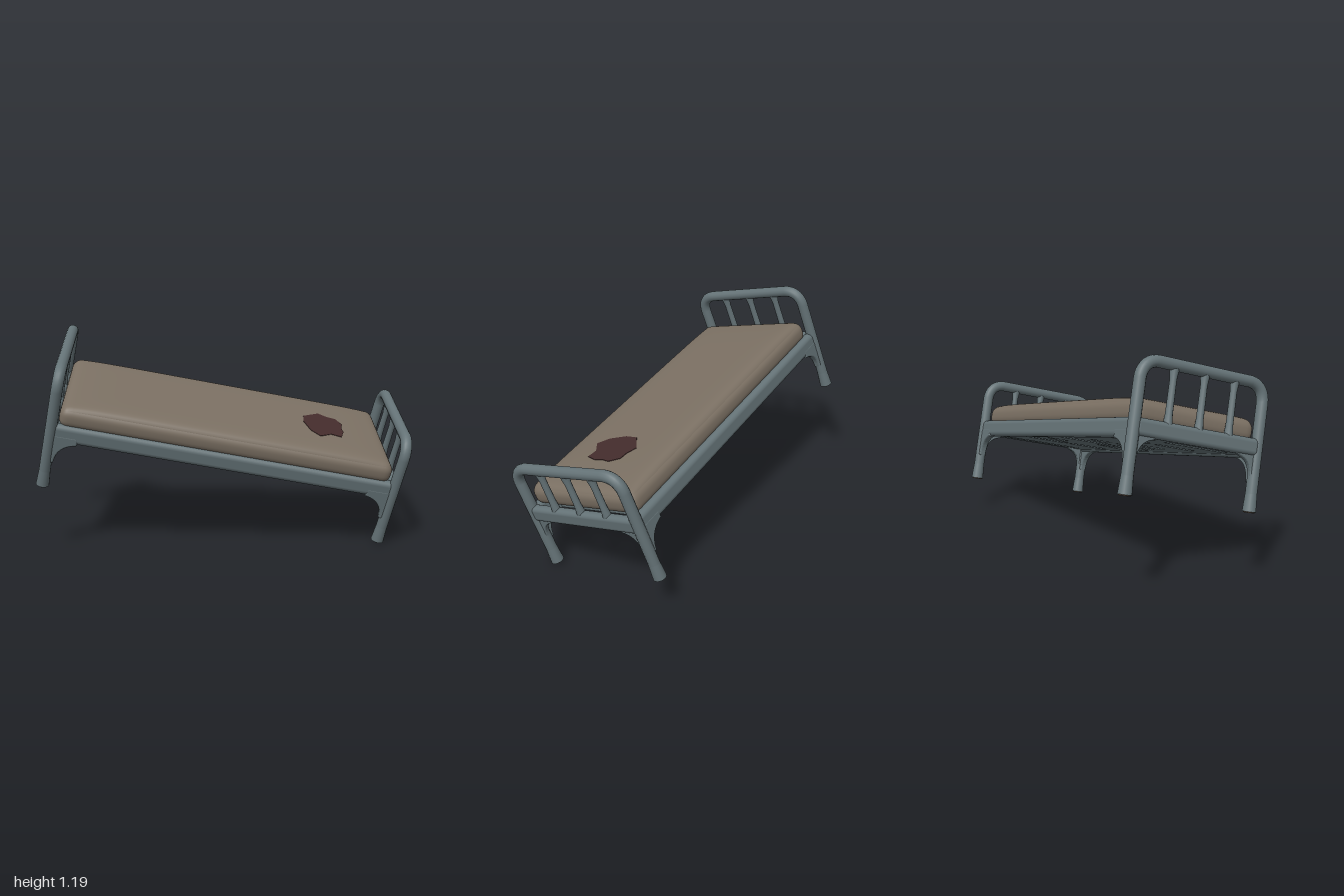
import * as THREE from 'three';
import { RoundedBoxGeometry } from 'three/addons/geometries/RoundedBoxGeometry.js';

const material = (name, color) => {
  const m = new THREE.MeshStandardMaterial({ color });
  m.name = name;
  return m;
};
const steel = material('blue grey steel', 0x657377);
const cloth = material('dirty beige cloth', 0x7b7063);
const stainRed = material('dark red stain', 0x442c2c);
const rust = material('brown rust', 0x6b5a4c);

const POST_X = 0.94, POST_Z = 0.365, RAIL_Y = 0.32;

function add(parent, name, geometry, mat, x = 0, y = 0, z = 0) {
  const mesh = new THREE.Mesh(geometry, mat);
  mesh.name = name;
  mesh.position.set(x, y, z);
  parent.add(mesh);
  return mesh;
}

// Bent tube forming two legs and the top bar, with three upright bars
function endFrame(name, x, height) {
  const group = new THREE.Group();
  group.name = name;
  group.position.x = x;
  const v = (y, z) => new THREE.Vector3(0, y, z);
  const r = 0.09, Z = POST_Z, path = new THREE.CurvePath();
  path.add(new THREE.LineCurve3(v(0.005, Z), v(height - r, Z)));
  path.add(new THREE.QuadraticBezierCurve3(v(height - r, Z), v(height - 0.008, Z - 0.008), v(height, Z - r)));
  path.add(new THREE.LineCurve3(v(height, Z - r), v(height, r - Z)));
  path.add(new THREE.QuadraticBezierCurve3(v(height, r - Z), v(height - 0.008, 0.008 - Z), v(height - r, -Z)));
  path.add(new THREE.LineCurve3(v(height - r, -Z), v(0.005, -Z)));
  add(group, 'bentTube', new THREE.TubeGeometry(path, 120, 0.031, 14), steel);

  for (const z of [-0.18, 0, 0.18]) {
    // Upright bar, thicker where it meets the rails
    const profile = [[0.026, 0.34], [0.019, 0.41], [0.018, height - 0.07], [0.026, height - 0.01]]
      .map(([a, b]) => new THREE.Vector2(a, b));
    add(group, 'uprightBar', new THREE.LatheGeometry(profile, 12), steel, 0, 0, z);
  }
  for (const s of [-1, 1]) {
    add(group, 'foot', new THREE.CylinderGeometry(0.031, 0.036, 0.09, 14), steel, 0, 0.045, s * Z);
    add(group, 'footCap', new THREE.CylinderGeometry(0.032, 0.028, 0.006, 14), rust, 0, -0.002, s * Z);
  }
  add(group, 'endRail', new RoundedBoxGeometry(0.055, 0.09, 2 * Z, 3, 0.025), steel, 0, RAIL_Y + 0.005, 0);
  return group;
}

// Curved corner brace beneath a rail
function braceGeometry() {
  const s = new THREE.Shape();
  s.moveTo(0, 0.03);
  s.lineTo(0, -0.12);
  s.lineTo(0.03, -0.12);
  s.quadraticCurveTo(0.04, -0.02, 0.14, 0);
  s.lineTo(0.14, 0.03);
  const g = new THREE.ExtrudeGeometry(s, {
    depth: 0.02, bevelEnabled: true, bevelSize: 0.008, bevelThickness: 0.01, bevelSegments: 3, curveSegments: 8,
  });
  return g.translate(0, 0, -0.01);
}

// Bed base with torn slots: each is [centre x, half width, z start, z end, lean]
function basePlate() {
  const s = new THREE.Shape();
  s.moveTo(-0.93, -0.35);
  s.lineTo(0.93, -0.35);
  s.lineTo(0.93, 0.35);
  s.lineTo(-0.93, 0.35);
  const slots = [
    [0.86, 0.035, -0.28, 0.28, 0.01], [0.47, 0.035, -0.27, 0.0, 0], [0.47, 0.037, 0.03, 0.28, 0],
    [0.29, 0.045, -0.24, -0.09, 0.04], [0.19, 0.045, 0.05, 0.26, 0.04], [0.01, 0.033, -0.3, 0.05, 0],
    [0.01, 0.033, 0.08, 0.3, 0], [-0.16, 0.038, -0.17, -0.05, 0.02], [-0.16, 0.035, -0.02, 0.23, -0.03],
    [-0.33, 0.04, -0.03, 0.19, -0.035], [-0.58, 0.033, -0.3, -0.05, 0], [-0.58, 0.03, -0.02, 0.23, 0.01],
    [-0.82, 0.028, -0.3, -0.17, 0], [-0.82, 0.026, -0.1, 0.27, 0],
  ];
  for (const [x, w, z0, z1, lean] of slots) {
    const hole = new THREE.Path();
    hole.moveTo(x - w, z0);
    hole.lineTo(x - w, z1);
    hole.lineTo(x + w, z1);
    hole.lineTo(x + w - Math.abs(lean) * 1.6, z0);
    hole.closePath();
    s.holes.push(hole);
  }
  const g = new THREE.ExtrudeGeometry(s, { depth: 0.025, bevelEnabled: false });
  return g.rotateX(Math.PI / 2);
}

// Soft block: rounded edges with a gently domed top
function mattressGeometry() {
  const hx = 0.91, hy = 0.06, hz = 0.362, r = 0.05;
  const g = new THREE.BoxGeometry(2, 2, 2, 48, 10, 28);
  const p = g.attributes.position, v = new THREE.Vector3(), core = new THREE.Vector3();
  const ease = t => Math.sin(t * Math.PI / 2);
  for (let i = 0; i < p.count; i++) {
    const u = ease(p.getX(i)), t = p.getY(i), w = ease(p.getZ(i));
    v.set(u * hx, t * hy, w * hz);
    core.set(
      THREE.MathUtils.clamp(v.x, r - hx, hx - r),
      THREE.MathUtils.clamp(v.y, r - hy, hy - r),
      THREE.MathUtils.clamp(v.z, r - hz, hz - r));
    v.sub(core).normalize().multiplyScalar(r).add(core);
    if (t > 0) v.y += 0.02 * t * (1 - u ** 8) * (1 - w ** 8);
    p.setXYZ(i, v.x, v.y, v.z);
  }
  g.computeVertexNormals();
  return g;
}

function stainGeometry() {
  const outline = [
    [0.435, -0.047], [0.53, -0.116], [0.582, -0.087], [0.628, -0.081], [0.661, -0.021], [0.649, 0.032],
    [0.655, 0.08], [0.633, 0.147], [0.576, 0.135], [0.509, 0.182], [0.459, 0.129], [0.429, 0.031],
  ].map(([x, z]) => new THREE.Vector2(x, -z));
  const g = new THREE.ExtrudeGeometry(new THREE.Shape(outline), { depth: 0.006, bevelEnabled: false });
  return g.rotateX(-Math.PI / 2);
}

export function createModel() {
  const model = new THREE.Group();
  model.name = 'bed';
  const bed = new THREE.Group();
  bed.name = 'tiltedBed';
  model.add(bed);

  bed.add(endFrame('headboard', -POST_X, 0.65));
  bed.add(endFrame('footboard', POST_X, 0.61));

  for (const s of [-1, 1]) {
    add(bed, 'sideRail', new RoundedBoxGeometry(2 * POST_X, 0.1, 0.06, 3, 0.028), steel, 0, RAIL_Y, s * 0.354);
    for (const e of [-1, 1]) {
      const along = add(bed, 'sideBrace', braceGeometry(), steel, e * POST_X, RAIL_Y - 0.045, s * POST_Z);
      along.rotation.y = e > 0 ? Math.PI : 0;
      const across = add(bed, 'endBrace', braceGeometry(), steel, e * POST_X, RAIL_Y - 0.04, s * POST_Z);
      across.rotation.y = s * Math.PI / 2;
      across.scale.set(0.8, 0.8, 0.8);
    }
  }
  add(bed, 'basePlate', basePlate(), steel, 0, 0.308, 0);
  add(bed, 'mattress', mattressGeometry(), cloth, 0, 0.405, 0.008);
  add(bed, 'stain', stainGeometry(), stainRed, 0, 0.481, 0);

  // The whole bed is turned and tipped
  const length = new THREE.Vector3(0.776, -0.194, 0.6).normalize();
  const up = new THREE.Vector3(-0.008, 0.949, 0.317);
  const side = new THREE.Vector3().crossVectors(length, up).normalize();
  up.crossVectors(side, length);
  bed.quaternion.setFromRotationMatrix(new THREE.Matrix4().makeBasis(length, up, side));
  bed.position.set(0, 0.291, -0.08);
  return model;
}
